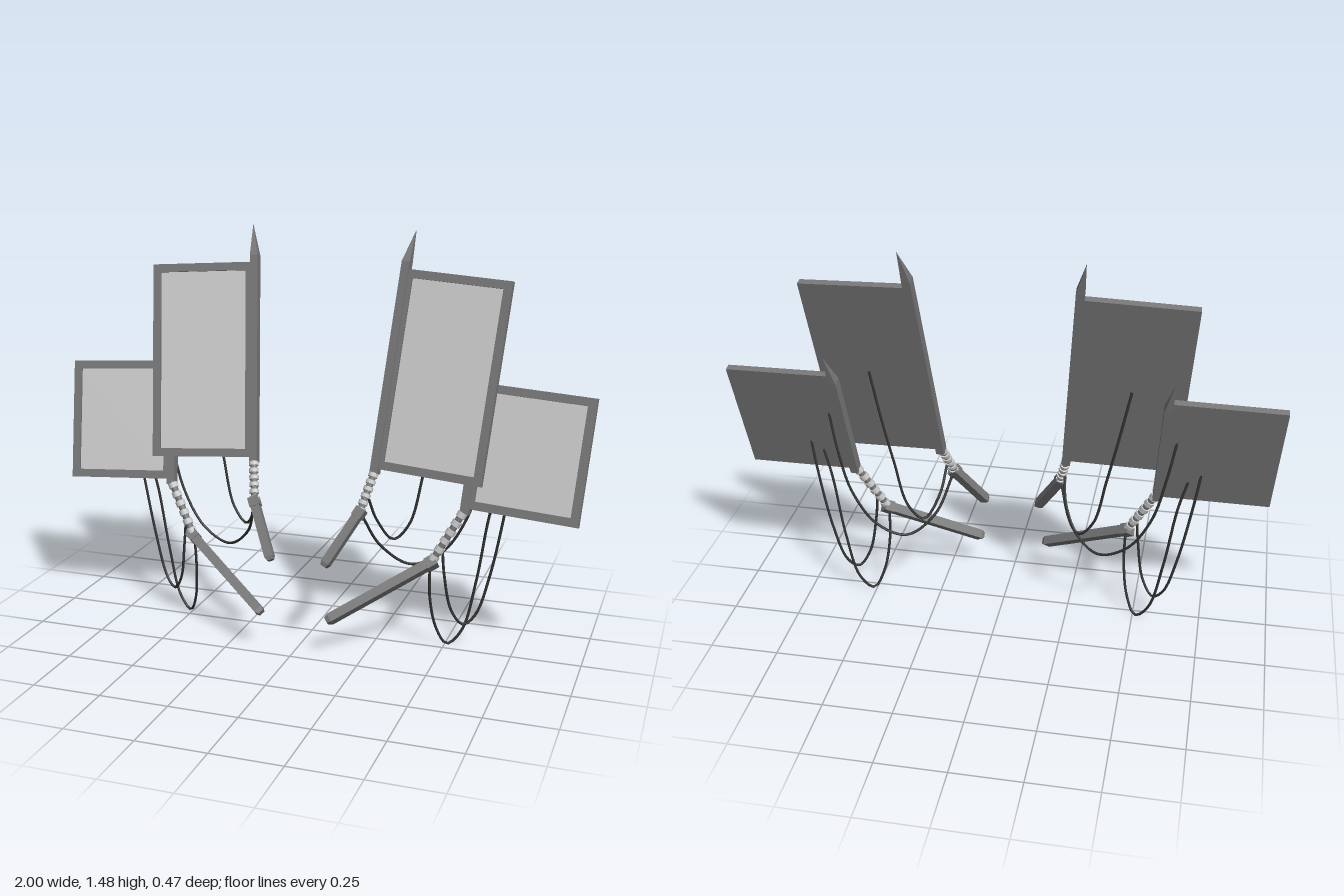
import * as THREE from 'three';

const V = (x, y, z) => new THREE.Vector3(x, y, z);
const mat = (color) => new THREE.MeshStandardMaterial({ color });
const frameMat = mat(0x777777);
const faceMat = mat(0xcccccc);
const cableMat = mat(0x333333);

function add(parent, geometry, material, name, x = 0, y = 0, z = 0) {
  const mesh = new THREE.Mesh(geometry, material);
  mesh.name = name;
  mesh.position.set(x, y, z);
  parent.add(mesh);
  return mesh;
}

// Group at a start point whose y axis follows "up" and whose x axis leans to "side"
function orientedGroup(name, origin, up, side) {
  const g = new THREE.Group();
  const y = up.clone().normalize();
  const z = side.clone().cross(y).normalize();
  const x = y.clone().cross(z);
  g.quaternion.setFromRotationMatrix(new THREE.Matrix4().makeBasis(x, y, z));
  g.position.copy(origin);
  g.name = name;
  return g;
}

// Square spar whose upper end is drawn to a point at its inner back edge
function sparGeometry(w, d, shoulder, tip) {
  const geo = new THREE.BoxGeometry(w, tip, d, 1, 2, 1).toNonIndexed();
  const p = geo.attributes.position;
  for (let i = 0; i < p.count; i++) {
    const y = p.getY(i);
    if (y > 0.01) p.setXYZ(i, w * 0.4, tip, -d * 0.4);
    else p.setY(i, y < -0.01 ? 0 : shoulder);
  }
  geo.computeVertexNormals();
  return geo;
}

// Framed panel with a pale front face and a pointed spar on its inner edge
function panel(name, origin, side, up, w, h, tip) {
  const g = orientedGroup(name, origin, up, side);
  const b = 0.03, t = 0.026;
  add(g, new THREE.BoxGeometry(w, h, 0.014), frameMat, 'backPlate', w / 2, h / 2, -0.006);
  add(g, new THREE.BoxGeometry(w - 2 * b, h - 2 * b, 0.004), faceMat, 'panelFace', w / 2, h / 2, 0.003);
  for (const x of [b / 2, w - b / 2])
    add(g, new THREE.BoxGeometry(b, h, t), frameMat, 'frameSide', x, h / 2, 0);
  for (const y of [b / 2, h - b / 2])
    add(g, new THREE.BoxGeometry(w - 2 * b, b, t), frameMat, 'frameEnd', w / 2, y, 0);
  add(g, sparGeometry(0.03, 0.036, tip - 0.12, tip), frameMat, 'spar', -0.002, -0.02, 0);
  return g;
}

// Ribbed flexible joint running between two points
function joint(name, a, b) {
  const dir = b.clone().sub(a), len = dir.length(), n = 6;
  const g = orientedGroup(name, a, dir, V(1, 0, 0));
  add(g, new THREE.CylinderGeometry(0.013, 0.013, len, 12), frameMat, 'jointCore', 0, len / 2, 0);
  for (let i = 0; i < n; i++)
    add(g, new THREE.CylinderGeometry(0.018, 0.018, len / n * 0.55, 12), faceMat, 'jointRing', 0, (i + 0.5) * len / n, 0);
  return g;
}

// Straight square arm with an elbow block and a tapered end
function arm(name, a, b, w) {
  const dir = b.clone().sub(a), len = dir.length(), cap = 0.015;
  const g = orientedGroup(name, a, dir, V(1, 0, 0));
  add(g, new THREE.BoxGeometry(w, len - cap, w), frameMat, 'armBar', 0, (len - cap) / 2, 0);
  const end = new THREE.CylinderGeometry(w * 0.45, w * Math.SQRT1_2, cap, 4, 1).rotateY(Math.PI / 4).toNonIndexed();
  end.computeVertexNormals();
  add(g, end, frameMat, 'armEnd', 0, len - cap / 2, 0);
  add(g, new THREE.BoxGeometry(w * 1.2, w * 1.1, w * 1.2), frameMat, 'elbowBlock');
  return g;
}

function cable(name, points) {
  const curve = new THREE.CatmullRomCurve3(points.map((p) => V(...p)));
  const mesh = new THREE.Mesh(new THREE.TubeGeometry(curve, 48, 0.005, 8), cableMat);
  mesh.name = name;
  return mesh;
}

function wingPair(name) {
  const g = new THREE.Group();
  g.name = name;
  g.add(
    panel('upperPanel', V(0.235, 0.65, -0.02), V(0.39, -0.02, 0.03), V(0.055, 0.7, -0.175), 0.393, 0.72, 0.885),
    panel('lowerPanel', V(0.568, 0.535, -0.016), V(0.4, -0.015, 0.03), V(0.03, 0.43, -0.115), 0.401, 0.447, 0.555),
    joint('upperJoint', V(0.232, 0.64, -0.012), V(0.2, 0.505, 0.065)),
    joint('lowerJoint', V(0.565, 0.53, -0.008), V(0.46, 0.34, 0.037)),
    arm('upperArm', V(0.2, 0.505, 0.065), V(0.1, 0.327, 0.17), 0.032),
    arm('lowerArm', V(0.46, 0.337, 0.037), V(0.123, 0.137, 0.208), 0.034),
    // Hanging cables from the panel backs to the joints
    cable('upperCable', [[0.465, 0.98, -0.108], [0.425, 0.78, -0.108], [0.39, 0.62, -0.102], [0.345, 0.43, -0.09],
      [0.29, 0.37, -0.075], [0.24, 0.45, -0.03], [0.22, 0.56, 0.03]]),
    cable('linkCable', [[0.63, 0.8, -0.09], [0.6, 0.64, -0.102], [0.555, 0.47, -0.1], [0.47, 0.335, -0.088],
      [0.36, 0.285, -0.065], [0.26, 0.36, -0.015], [0.205, 0.5, 0.06]]),
    cable('outerCable', [[0.72, 0.65, -0.045], [0.7, 0.52, -0.052], [0.655, 0.28, -0.052], [0.61, 0.13, -0.04],
      [0.57, 0.093, -0.022], [0.53, 0.15, 0.002], [0.505, 0.29, 0.022], [0.495, 0.4, 0.022]]),
    cable('lowCable', [[0.675, 0.61, -0.04], [0.645, 0.5, -0.05], [0.605, 0.25, -0.056], [0.56, 0.06, -0.048],
      [0.51, 0.006, -0.032], [0.475, 0.07, -0.005], [0.455, 0.2, 0.025], [0.455, 0.33, 0.037]])
  );
  return g;
}

export function createModel() {
  const model = new THREE.Group();
  model.name = 'panelWings';
  const right = wingPair('rightWings');
  right.scale.x = -1;
  model.add(wingPair('leftWings'), right);
  return model;
}
